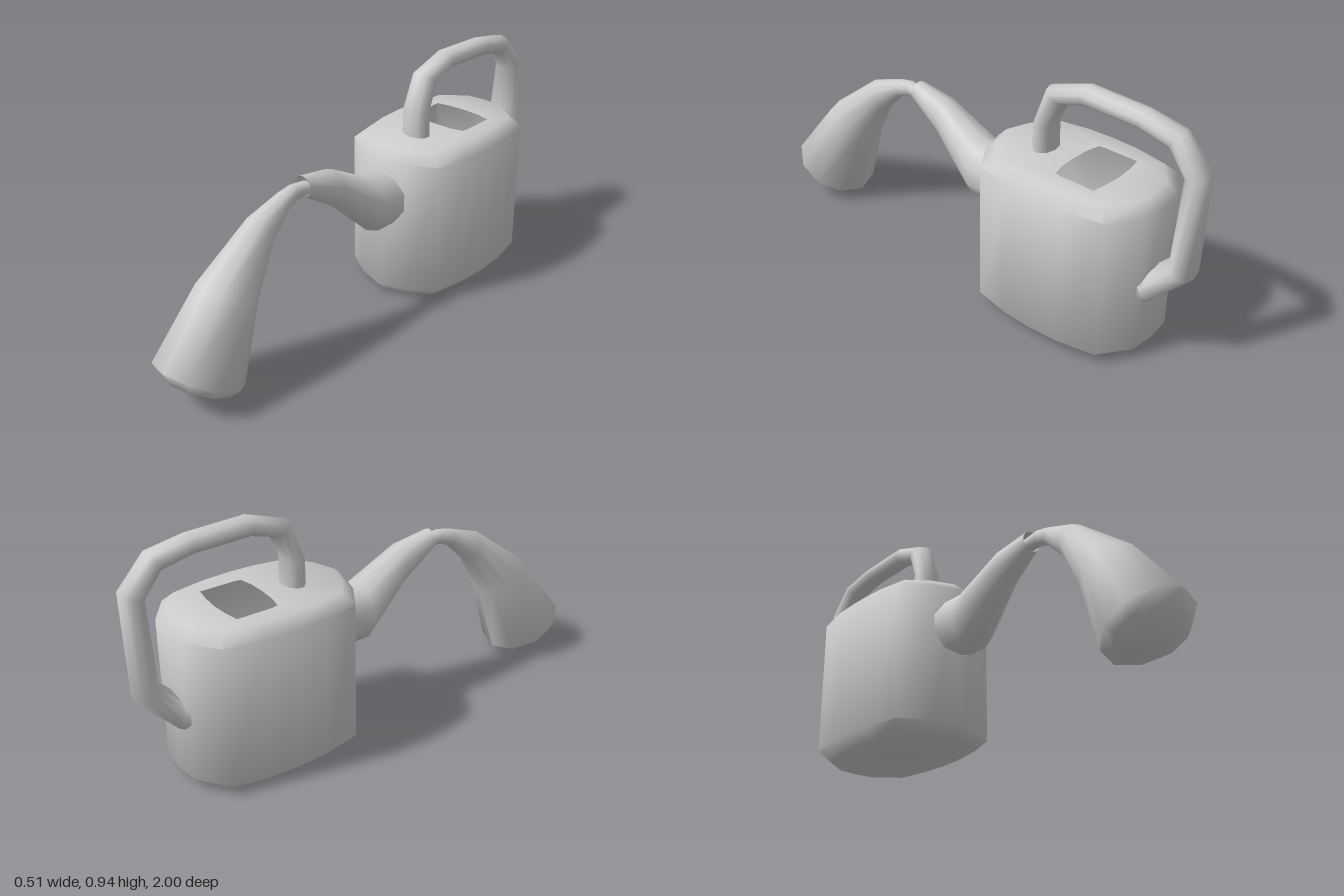
import * as THREE from 'three';
import { toCreasedNormals } from 'three/addons/utils/BufferGeometryUtils.js';

const SIDES = 10;

// Skin a list of closed rings (arrays of [x, y, z]); cap centres are optional.
function skin(name, rings, startCap, endCap, crease = 1.05) {
  const n = rings[0].length;
  const pos = rings.flat(2);
  const index = [];
  for (let i = 0; i < rings.length - 1; i++) {
    for (let j = 0; j < n; j++) {
      const a = i * n + j, b = i * n + (j + 1) % n;
      index.push(a, a + n, b, b, a + n, b + n);
    }
  }
  let next = rings.length * n;
  if (startCap) {
    pos.push(...startCap);
    for (let j = 0; j < n; j++) index.push(next, j, (j + 1) % n);
    next++;
  }
  if (endCap) {
    const base = (rings.length - 1) * n;
    pos.push(...endCap);
    for (let j = 0; j < n; j++) index.push(next, base + (j + 1) % n, base + j);
  }
  const geo = new THREE.BufferGeometry();
  geo.setAttribute('position', new THREE.Float32BufferAttribute(pos, 3));
  geo.setIndex(index);
  const material = new THREE.MeshStandardMaterial({ color: 0xcccccc, side: THREE.DoubleSide });
  const mesh = new THREE.Mesh(toCreasedNormals(geo, crease), material);
  mesh.name = name;
  return mesh;
}

// Elliptical rings in the x = 0 plane of symmetry:
// each station is [outer z, outer y, inner z, inner y, half width].
function tubeRings(stations) {
  return stations.map(([oz, oy, iz, iy, w]) => {
    const ring = [];
    for (let j = 0; j < SIDES; j++) {
      const a = (j / SIDES) * Math.PI * 2;
      const c = Math.cos(a) / 2;
      ring.push([Math.sin(a) * w, (oy + iy) / 2 + (oy - iy) * c, (oz + iz) / 2 + (oz - iz) * c]);
    }
    return ring;
  });
}

// Complete a half outline [x, z] (back to front) by mirroring it in x.
function mirrorOutline(half) {
  const other = half.slice(1, -1).reverse().map(([x, z]) => [-x, z]);
  return [...half, ...other];
}

export function createModel() {
  const group = new THREE.Group();
  group.name = 'wateringCan';

  // Body: rounded outline with bevelled rims and a filling hole in the top
  const cz = -0.475;
  const outline = mirrorOutline([
    [0, -0.845], [0.1, -0.835], [0.22, -0.75], [0.25, -0.6], [0.256, cz],
    [0.25, -0.36], [0.22, -0.21], [0.11, -0.14], [0, -0.105],
  ]);
  const hole = mirrorOutline([
    [0, -0.655], [0.07, -0.65], [0.13, -0.64], [0.13, -0.59], [0.13, -0.54],
    [0.13, -0.5], [0.125, -0.475], [0.07, -0.463], [0, -0.46],
  ]);
  const level = (y, sx, sz) => outline.map(([x, z]) => [x * sx, y, cz + (z - cz) * sz]);
  group.add(skin('body', [
    level(0, 0.82, 0.89),
    level(0.042, 1, 1),
    level(0.6, 1, 1),
    level(0.64, 0.82, 0.89),
    hole.map(([x, z]) => [x, 0.64, z]),
  ], [0, 0, cz]));

  // Handle: from the flared foot on the back, over the top, to the front foot
  group.add(skin('handle', tubeRings([
    [-0.81, 0.2, -0.79, 0.4, 0.115],
    [-0.86, 0.235, -0.835, 0.36, 0.11],
    [-0.985, 0.37, -0.9, 0.43, 0.075],
    [-1.0, 0.785, -0.915, 0.755, 0.055],
    [-0.89, 0.91, -0.85, 0.84, 0.05],
    [-0.74, 0.937, -0.73, 0.865, 0.048],
    [-0.5, 0.945, -0.51, 0.87, 0.048],
    [-0.34, 0.89, -0.42, 0.845, 0.052],
    [-0.29, 0.74, -0.375, 0.75, 0.058],
    [-0.29, 0.62, -0.375, 0.62, 0.062],
  ])));

  // Spout: tapers forward and upward to an open tip
  group.add(skin('spout', tubeRings([
    [-0.18, 0.555, -0.18, 0.32, 0.112],
    [-0.035, 0.555, -0.035, 0.32, 0.108],
    [0.16, 0.66, 0.16, 0.505, 0.068],
    [0.31, 0.685, 0.31, 0.603, 0.042],
  ])));

  // Water: a stream that arcs out of the spout and widens to a rounded end
  group.add(skin('waterStream', tubeRings([
    [0.29, 0.66, 0.3, 0.61, 0.028],
    [0.36, 0.67, 0.35, 0.61, 0.03],
    [0.42, 0.657, 0.4, 0.592, 0.038],
    [0.56, 0.61, 0.49, 0.505, 0.062],
    [0.8, 0.43, 0.59, 0.33, 0.115],
    [1.0, 0.195, 0.69, 0.03, 0.165],
    [0.97, 0.13, 0.74, 0.03, 0.14],
    [0.91, 0.08, 0.8, 0.033, 0.07],
  ]), null, [0, 0.045, 0.85], 1.2));

  return group;
}
